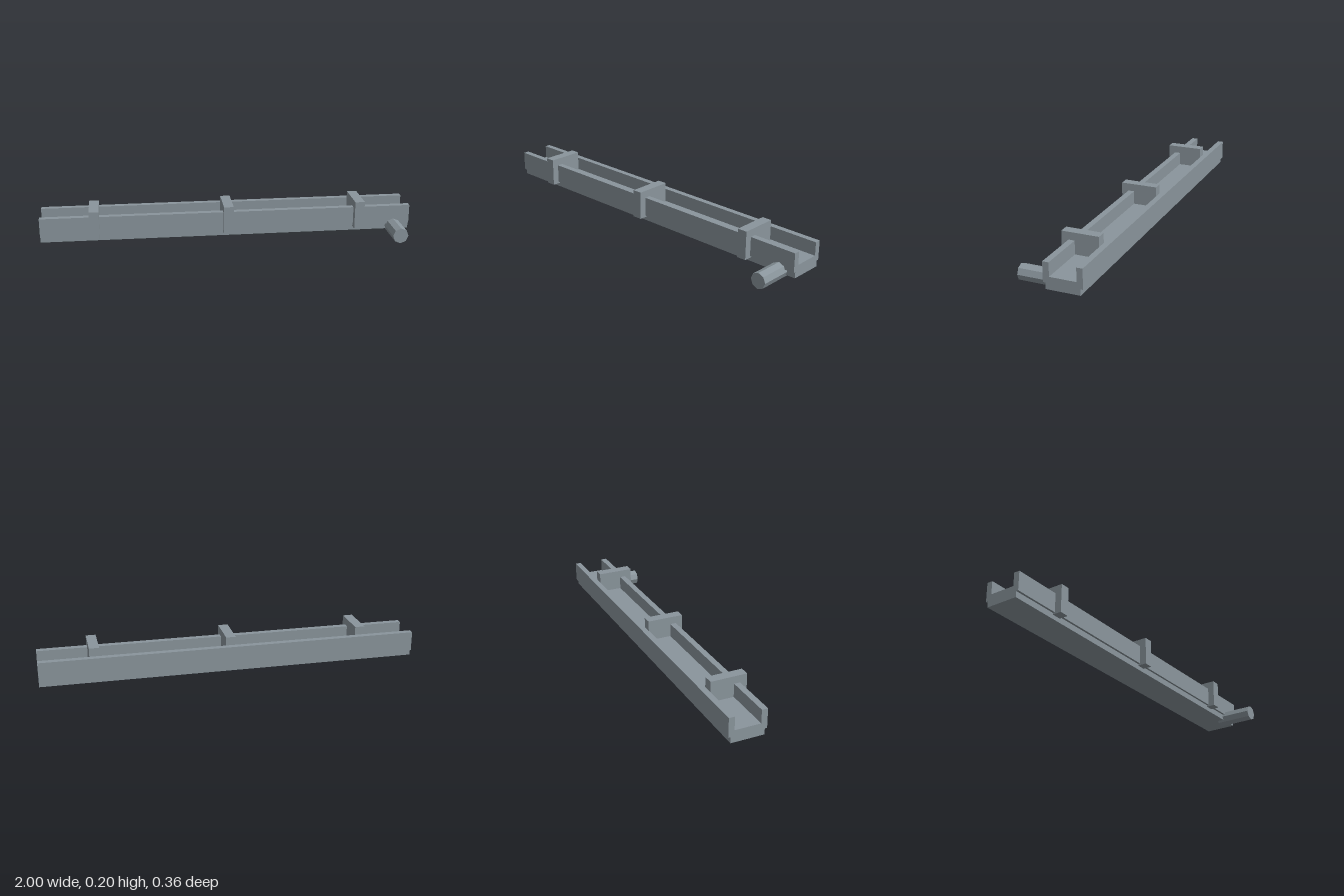
import * as THREE from 'three';

export function createModel() {
  const model = new THREE.Group();
  const steel = new THREE.MeshStandardMaterial({ color: 0x8a959c, flatShading: true });
  steel.name = 'steel grey';

  const add = (name, geometry, x, y, z) => {
    const mesh = new THREE.Mesh(geometry, steel);
    mesh.name = name;
    mesh.position.set(x, y, z);
    model.add(mesh);
    return mesh;
  };

  // Stepped U-shaped channel: section as [z, y], extruded along x
  const section = [
    [0.009, 0.025], [0.009, 0.057], [0.021, 0.057], [0.021, 0.16],
    [-0.011, 0.16], [-0.011, 0.089], [-0.148, 0.089], [-0.148, 0.16],
    [-0.179, 0.16], [-0.179, 0.057], [-0.167, 0.057], [-0.167, 0.025],
  ];
  const shape = new THREE.Shape(section.map(([z, y]) => new THREE.Vector2(-z, y)));
  const channel = new THREE.ExtrudeGeometry(shape, { depth: 2, bevelEnabled: false });
  channel.translate(0, 0, -1).rotateY(Math.PI / 2);
  add('channel', channel, 0, 0, 0);

  // Three blocks across the front wall
  for (const x of [-0.713, 0, 0.713]) {
    add('crossBlock', new THREE.BoxGeometry(0.052, 0.152, 0.195), x, 0.124, -0.0395);
  }

  // Eight-sided peg on the front, near the left end
  const peg = new THREE.CylinderGeometry(0.042, 0.042, 0.207, 8);
  peg.rotateX(Math.PI / 2);
  add('peg', peg, 0.912, 0.043, 0.0765);

  return model;
}
